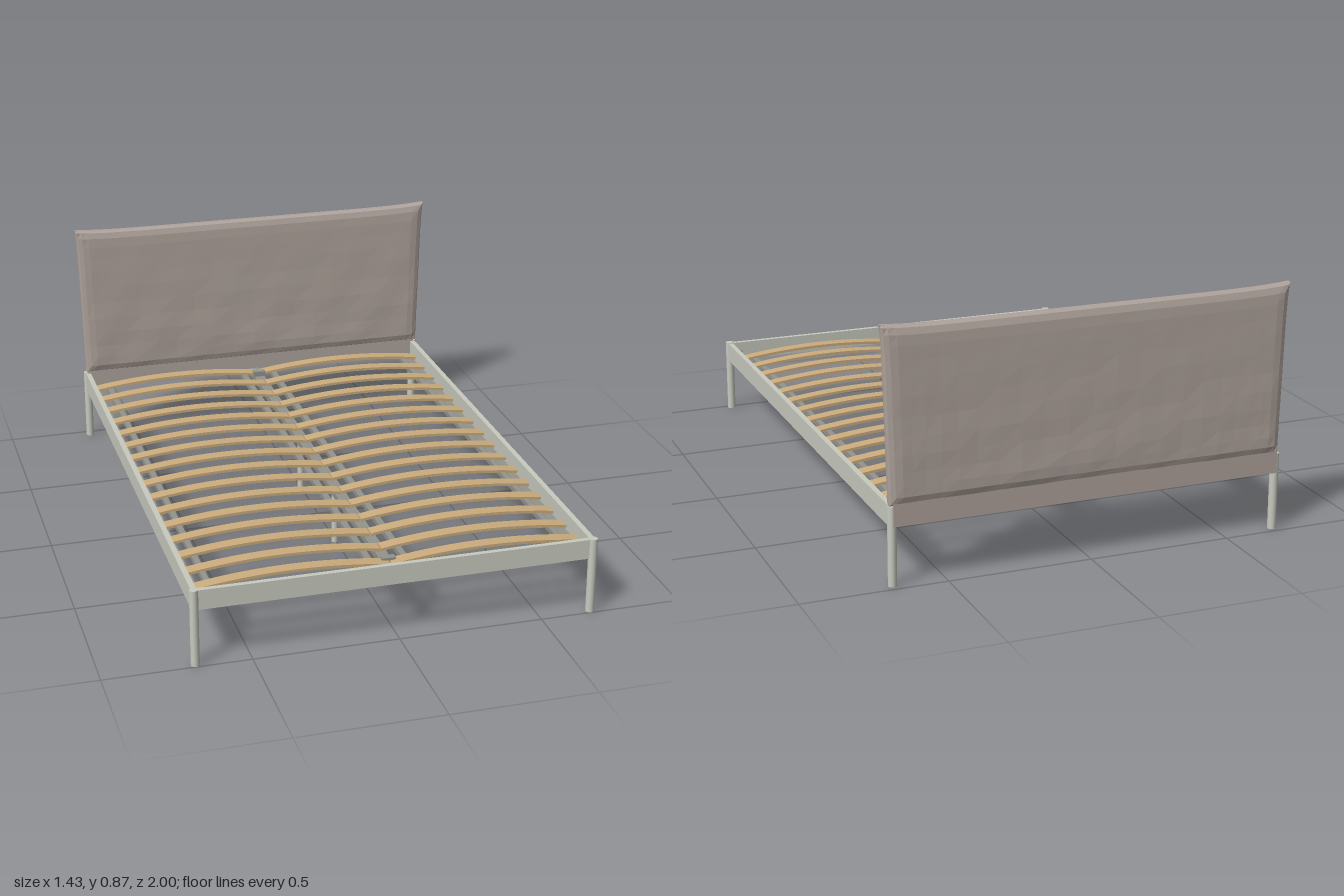
import * as THREE from 'three';

export function createModel() {
  const bed = new THREE.Group();
  bed.name = 'bed';

  const mat = (name, color) => {
    const m = new THREE.MeshStandardMaterial({ color });
    m.name = name;
    return m;
  };
  const metal = mat('painted metal', 0xc8cabf);
  const zinc = mat('grey metal', 0x94948f);
  const fabric = mat('upholstery', 0xafa39c);
  const wood = mat('birch', 0xcbac7d);

  const CX = -0.004; // centre line of the frame
  const add = (name, geometry, material, x, y, z) => {
    const mesh = new THREE.Mesh(geometry, material);
    mesh.name = name;
    mesh.position.set(x, y, z);
    bed.add(mesh);
    return mesh;
  };
  // box given by its extents
  const box = (name, material, x0, x1, y0, y1, z0, z1) =>
    add(name, new THREE.BoxGeometry(x1 - x0, y1 - y0, z1 - z0), material,
      (x0 + x1) / 2, (y0 + y1) / 2, (z0 + z1) / 2);
  const post = (name, r, h, x, z) =>
    add(name, new THREE.CylinderGeometry(r, r, h, 16), metal, x, h / 2, z);

  // corner legs, side rails with inner ledges, and slat holder strips
  for (const s of [-1, 1]) {
    const side = s > 0 ? 'left' : 'right';
    const strip = (name, material, a, b, y0, y1, z0, z1) => {
      const p = CX + s * a, q = CX + s * b;
      box(name, material, Math.min(p, q), Math.max(p, q), y0, y1, z0, z1);
    };
    post(side + 'FrontLeg', 0.015, 0.272, CX + s * 0.684, 0.985);
    post(side + 'BackLeg', 0.015, 0.272, CX + s * 0.684, -0.97);
    strip(side + 'Rail', metal, 0.673, 0.692, 0.2, 0.27, -0.96, 0.98);
    strip(side + 'Ledge', zinc, 0.643, 0.673, 0.2, 0.208, -0.955, 0.97);
    strip(side + 'OuterSlatHolder', zinc, 0.602, 0.622, 0.214, 0.232, -0.88, 0.87);
    strip(side + 'InnerSlatHolder', zinc, 0.05, 0.072, 0.214, 0.232, -0.88, 0.87);
    strip(side + 'CornerBracket', zinc, 0.645, 0.673, 0.2, 0.245, 0.94, 0.972);
  }

  // foot rail, centre beam with end brackets, and middle legs
  box('footRail', metal, CX - 0.684, CX + 0.684, 0.2, 0.27, 0.972, 0.99);
  box('centreBeam', zinc, CX - 0.02, CX + 0.02, 0.2, 0.222, -0.96, 0.972);
  for (const z of [-0.87, 0.87])
    box('beamBracket', zinc, CX - 0.024, CX + 0.024, 0.222, 0.242, z - 0.012, z + 0.012);
  for (const z of [0.24, -0.23]) post('middleLeg', 0.012, 0.2, CX, z);

  // bowed slats, one on each side of the beam in every row
  const W = 0.668, T = 0.01, BOW = 0.05;
  const slatShape = new THREE.Shape();
  slatShape.moveTo(0.004, 0);
  slatShape.quadraticCurveTo(W / 2, BOW, W, 0);
  slatShape.lineTo(W, T);
  slatShape.quadraticCurveTo(W / 2, BOW + T, 0.004, T);
  slatShape.closePath();
  const slatGeo = new THREE.ExtrudeGeometry(slatShape, { depth: 0.045, bevelEnabled: false, curveSegments: 12 });
  for (let i = 0; i < 16; i++) {
    const z = -0.912 + i * 0.1183;
    add('leftSlat', slatGeo, wood, CX, 0.222, z);
    add('rightSlat', slatGeo, wood, CX - W, 0.222, z);
  }

  // headboard: padded panel, thinned at its edges and lightly creased
  const HW = 0.7, HH = 0.292, HT = 0.025;
  const indexed = new THREE.BoxGeometry(2, 2, 2, 26, 14, 4);
  const p = indexed.attributes.position;
  for (let i = 0; i < p.count; i++) {
    const u = Math.sin(p.getX(i) * Math.PI / 2), v = Math.sin(p.getY(i) * Math.PI / 2);
    const w = p.getZ(i);
    const x = u * HW, y = v * HH;
    const d = Math.min(1, Math.min(HW - Math.abs(x), HH - Math.abs(y)) / 0.05);
    const thick = 0.3 + 0.7 * Math.sqrt(1 - (1 - d) ** 2);
    const low = 0.5 - 0.5 * v;
    const crease = 0.003 * d * low * Math.sin(17 * x + 9 * y) * Math.sin(23 * y - 11 * x) * Math.sign(w);
    // corners flare out at the top, the lower end is slightly narrower
    const px = x * (1 + 0.012 * v) + 0.006 * Math.sign(u) * Math.max(0, v) ** 6 * u * u;
    const py = y + 0.01 * Math.max(0, v) * u ** 8;
    p.setXYZ(i, px, py, w * HT * thick - crease);
  }
  const pad = indexed.toNonIndexed();
  pad.computeVertexNormals();
  add('headboard', pad, fabric, 0, 0.566, -0.971);
  box('headboardLowerPanel', fabric, CX - 0.684, CX + 0.684, 0.205, 0.3, -0.988, -0.956);

  return bed;
}
